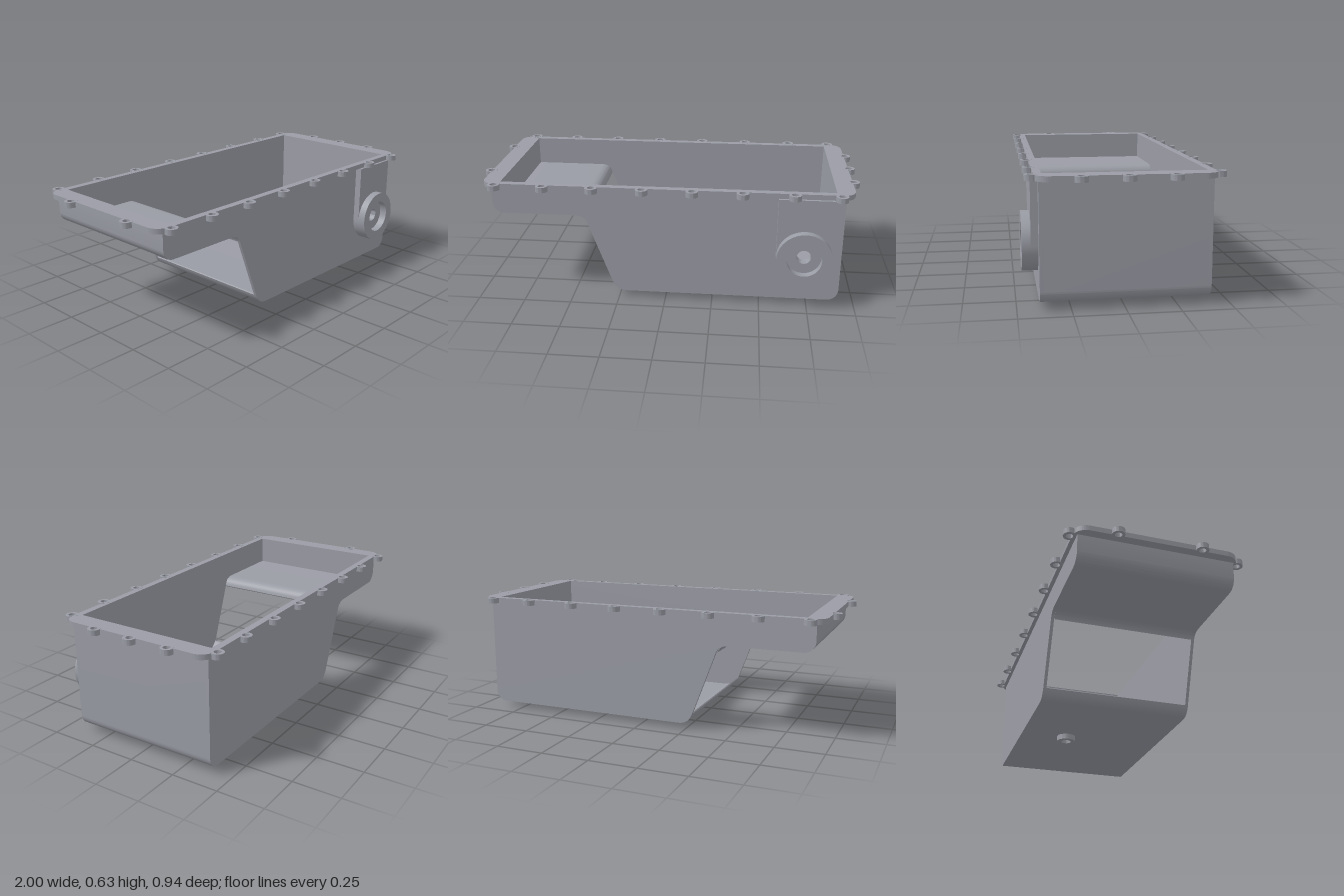
import * as THREE from 'three';
import { toCreasedNormals } from 'three/addons/utils/BufferGeometryUtils.js';

const CZ = -0.006;                 // centre line of the pan in z
const IN_X = 0.866, IN_Z = 0.385;  // cavity half sizes
const OUT_X = 0.915, WALL = 0.0165;
const RIM_Y = 0.603, RIM_H = 0.027;
const BOTTOM = 0.03, FLOOR = 0.045, SHELF = 0.46, SHELF_TOP = 0.475;
const PORT = { x: 0.72, y: 0.29, r: 0.143, hole: 0.037 };
const DRAIN = { x: 0.232, z: -0.15, r: 0.053, hole: 0.027 };

export function createModel() {
  const group = new THREE.Group();
  const grey = new THREE.MeshStandardMaterial({ color: 0x9a9ca5 });
  grey.name = 'cast grey';

  const add = (name, geometry, x = 0, y = 0, z = 0) => {
    const mesh = new THREE.Mesh(toCreasedNormals(geometry, 0.6), grey);
    mesh.name = name;
    mesh.position.set(x, y, z);
    group.add(mesh);
    return mesh;
  };
  const extrude = (shape, depth) =>
    new THREE.ExtrudeGeometry(shape, { depth, bevelEnabled: false, curveSegments: 16 });
  const flat = (shape, height) => extrude(shape, height).rotateX(-Math.PI / 2);
  const circle = (x, y, r) => new THREE.Path().absarc(x, y, r, 0, Math.PI * 2, true);
  const ring = (outer, inner, h) => new THREE.LatheGeometry(
    [[inner, 0], [outer, 0], [outer, h], [inner, h], [inner, 0]].map(p => new THREE.Vector2(...p)), 32);

  // Long side walls, cut to the stepped silhouette
  const silhouette = () => {
    const s = new THREE.Shape();
    s.moveTo(-OUT_X, RIM_Y);
    s.lineTo(-OUT_X, SHELF + 0.06);
    s.absarc(-OUT_X + 0.06, SHELF + 0.06, 0.06, Math.PI, Math.PI * 1.5, false);
    s.lineTo(-0.48, SHELF);
    s.quadraticCurveTo(-0.427, SHELF, -0.412, 0.42);
    s.lineTo(-0.287, 0.085);
    s.quadraticCurveTo(-0.267, BOTTOM, -0.21, BOTTOM);
    s.lineTo(OUT_X - 0.06, BOTTOM);
    s.absarc(OUT_X - 0.06, BOTTOM + 0.06, 0.06, -Math.PI / 2, 0, false);
    s.lineTo(OUT_X, RIM_Y);
    s.closePath();
    return s;
  };
  const front = silhouette();
  front.holes.push(circle(PORT.x, PORT.y, PORT.hole));
  add('frontWall', extrude(front, WALL), 0, 0, CZ + IN_Z);
  add('backWall', extrude(silhouette(), WALL), 0, 0, CZ - IN_Z - WALL);

  // Shallow end: end wall and shelf, with a rounded lip at the open step
  const shelf = new THREE.Shape();
  shelf.moveTo(-OUT_X, RIM_Y);
  shelf.lineTo(-OUT_X, SHELF + 0.06);
  shelf.absarc(-OUT_X + 0.06, SHELF + 0.06, 0.06, Math.PI, Math.PI * 1.5, false);
  shelf.lineTo(-0.48, SHELF);
  shelf.quadraticCurveTo(-0.43, SHELF, -0.416, 0.42);
  shelf.lineTo(-0.413, 0.425);
  shelf.quadraticCurveTo(-0.424, SHELF_TOP, -0.475, SHELF_TOP);
  shelf.lineTo(-IN_X, SHELF_TOP);
  shelf.lineTo(-IN_X, RIM_Y);
  shelf.closePath();
  add('shelf', extrude(shelf, IN_Z * 2), 0, 0, CZ - IN_Z);

  // Deep end: floor with upturned lip, drilled plate, floor with end wall
  const P0 = 0.13, P1 = 0.33;
  const lip = new THREE.Shape();
  lip.moveTo(P0, BOTTOM);
  lip.lineTo(-0.21, BOTTOM);
  lip.quadraticCurveTo(-0.267, BOTTOM, -0.287, 0.085);
  lip.lineTo(-0.283, 0.09);
  lip.quadraticCurveTo(-0.262, FLOOR, -0.205, FLOOR);
  lip.lineTo(P0, FLOOR);
  lip.closePath();
  add('floorLip', extrude(lip, IN_Z * 2), 0, 0, CZ - IN_Z);

  const plate = new THREE.Shape([[P0, -IN_Z], [P1, -IN_Z], [P1, IN_Z], [P0, IN_Z]]
    .map(p => new THREE.Vector2(...p)));
  plate.holes.push(circle(DRAIN.x, CZ - DRAIN.z, DRAIN.hole));
  add('drainFloor', flat(plate, FLOOR - BOTTOM), 0, BOTTOM, CZ);

  const end = new THREE.Shape();
  end.moveTo(P1, BOTTOM);
  end.lineTo(OUT_X - 0.06, BOTTOM);
  end.absarc(OUT_X - 0.06, BOTTOM + 0.06, 0.06, -Math.PI / 2, 0, false);
  end.lineTo(OUT_X, RIM_Y);
  end.lineTo(IN_X, RIM_Y);
  end.lineTo(IN_X, FLOOR);
  end.lineTo(P1, FLOOR);
  end.closePath();
  add('deepEnd', extrude(end, IN_Z * 2), 0, 0, CZ - IN_Z);

  // Bolt positions around the rim
  const bolts = [];
  for (const x of [-0.89, -0.636, -0.379, -0.119, 0.139, 0.396, 0.657, 0.888])
    for (const z of [-0.433, 0.433]) bolts.push(new THREE.Vector2(x, z));
  for (const z of [-0.215, 0.215]) bolts.push(new THREE.Vector2(-0.968, z));
  for (const z of [-0.215, 0, 0.215]) bolts.push(new THREE.Vector2(0.968, z));

  // Rim flange: rounded rectangle scalloped around every bolt
  const FX = 0.962, FZ = 0.422, R = 0.07, BITE = 0.024;
  const rim = new THREE.Shape();
  rim.absarc(FX - R, FZ - R, R, 0, Math.PI / 2, false);
  rim.absarc(-FX + R, FZ - R, R, Math.PI / 2, Math.PI, false);
  rim.absarc(-FX + R, -FZ + R, R, Math.PI, Math.PI * 1.5, false);
  rim.absarc(FX - R, -FZ + R, R, Math.PI * 1.5, Math.PI * 2, false);
  rim.closePath();
  const outline = rim.getSpacedPoints(1000).slice(0, -1);
  for (const p of outline)
    for (const b of bolts)
      if (p.distanceTo(b) < BITE) p.sub(b).setLength(BITE).add(b);
  const flange = new THREE.Shape(outline);
  flange.holes.push(new THREE.Path([[-IN_X, -IN_Z], [-IN_X, IN_Z], [IN_X, IN_Z], [IN_X, -IN_Z]]
    .map(p => new THREE.Vector2(...p))));
  add('rimFlange', flat(flange, RIM_H), 0, RIM_Y, CZ);

  // Bolt eyelets (shape y runs along -z)
  for (const b of bolts)
    add('boltEyelet', ring(0.032, 0.0175, RIM_H + 0.001), b.x, RIM_Y - 0.0005, CZ - b.y);

  // Drain boss under the floor
  add('drainBoss', ring(DRAIN.r, DRAIN.hole, BOTTOM), DRAIN.x, 0, DRAIN.z);

  // Round side port with a recessed, drilled face
  const faceZ = CZ + IN_Z + WALL, H = 0.4715 - faceZ;
  const port = new THREE.LatheGeometry([
    [PORT.hole, 0], [PORT.r, 0], [PORT.r, H], [0.09, H], [0.09, 0.035], [PORT.hole, 0.035], [PORT.hole, 0],
  ].map(p => new THREE.Vector2(...p)), 48).rotateX(Math.PI / 2);
  add('sidePort', port, PORT.x, PORT.y, faceZ);

  // Raised pad from the port up to the rim
  const pad = new THREE.Shape();
  pad.moveTo(PORT.r, 0);
  pad.lineTo(PORT.r, RIM_Y - PORT.y);
  pad.lineTo(-PORT.r, RIM_Y - PORT.y);
  pad.lineTo(-PORT.r, 0);
  pad.absarc(0, 0, PORT.r, Math.PI, 0, true);
  add('portPad', extrude(pad, 0.035), PORT.x, PORT.y, faceZ);

  return group;
}
